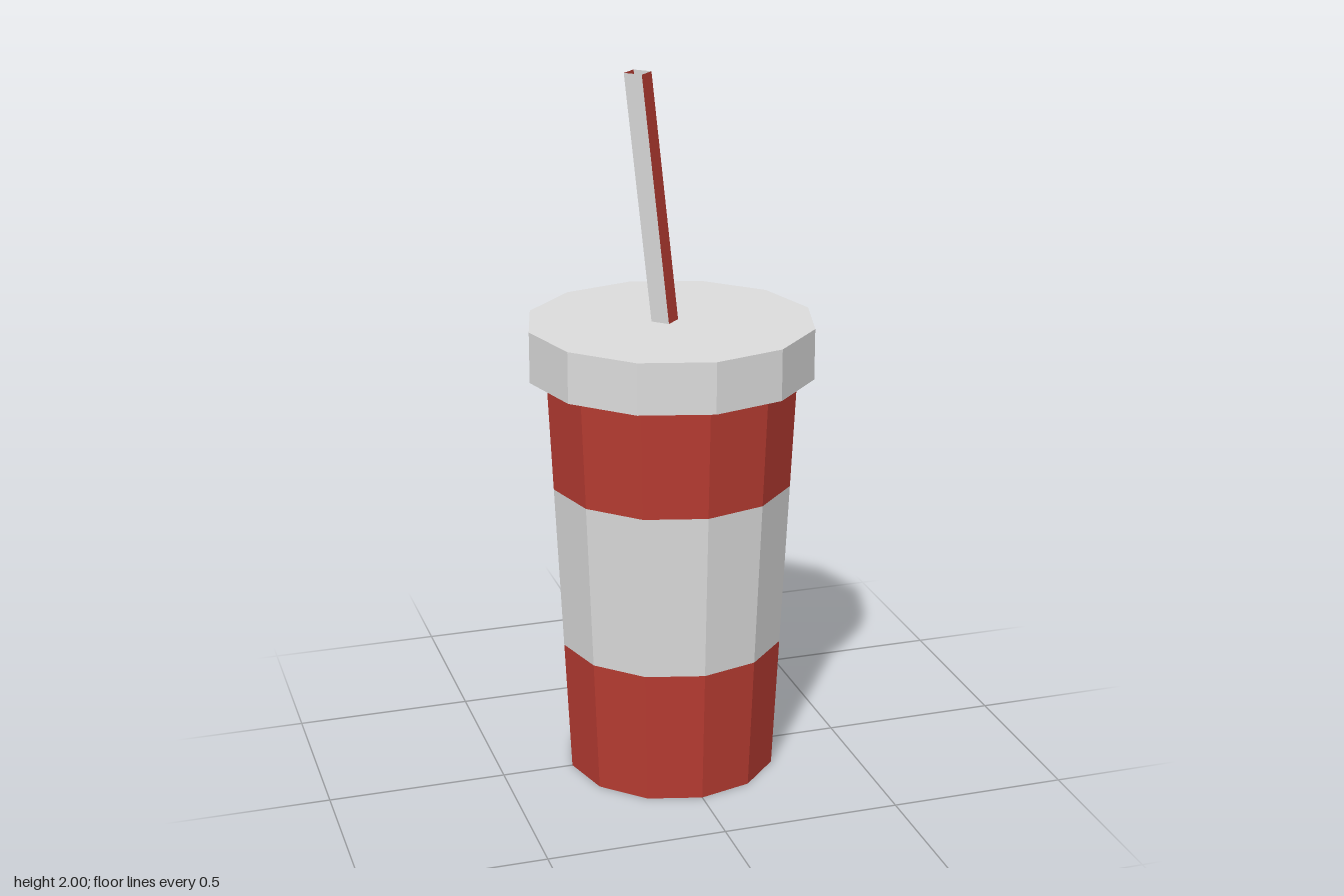
import * as THREE from 'three';

export function createModel() {
  const model = new THREE.Group();
  model.name = 'drinkCup';

  const paint = (name, color) => {
    const m = new THREE.MeshStandardMaterial({ color, flatShading: true, side: THREE.DoubleSide });
    m.name = name;
    return m;
  };
  const red = paint('red', 0xb83c32);
  const white = paint('white', 0xdcdcdc);

  const add = (name, geometry, material, parent = model) => {
    const mesh = new THREE.Mesh(geometry, material);
    mesh.name = name;
    parent.add(mesh);
    return mesh;
  };

  // Tapered twelve-sided cup, in three stacked colour bands
  const SIDES = 12;
  const cupRadius = (y) => 0.297 + 0.048 * y;
  const band = (name, y0, y1, material) =>
    add(name, new THREE.CylinderGeometry(cupRadius(y1), cupRadius(y0), y1 - y0, SIDES, 1, true), material)
      .position.y = (y0 + y1) / 2;
  band('lowerCup', 0, 0.383, red);
  band('cupBand', 0.383, 0.855, white);
  band('upperCup', 0.855, 1.3, red);
  const base = add('cupBase', new THREE.CircleGeometry(cupRadius(0), SIDES), red);
  base.rotation.x = Math.PI / 2;

  // Lid: a flat top with a skirt, open underneath
  const lidBottom = 1.17, lidTop = 1.313, lidRadius = 0.4;
  add('lidSkirt', new THREE.CylinderGeometry(lidRadius, lidRadius, lidTop - lidBottom, SIDES, 1, true), white)
    .position.y = (lidBottom + lidTop) / 2;
  const top = add('lidTop', new THREE.CircleGeometry(lidRadius, SIDES), white);
  top.rotation.x = -Math.PI / 2;
  top.position.y = lidTop;

  // Leaning hollow straw: four walls in alternating colours
  const straw = new THREE.Group();
  straw.name = 'straw';
  model.add(straw);
  const strawBottom = 1.3, strawTop = 2;
  for (let i = 0; i < 4; i++) {
    const wall = new THREE.CylinderGeometry(0.038, 0.038, strawTop - strawBottom, 1, 1, true, i * Math.PI / 2, Math.PI / 2);
    wall.translate(0, (strawTop + strawBottom) / 2, 0);
    const p = wall.attributes.position;
    for (let v = 0; v < p.count; v++) {
      p.setX(v, p.getX(v) - 0.017 - 0.108 * (p.getY(v) - lidTop));
    }
    wall.computeVertexNormals();
    add('strawWall', wall, i % 2 ? white : red, straw);
  }

  return model;
}
